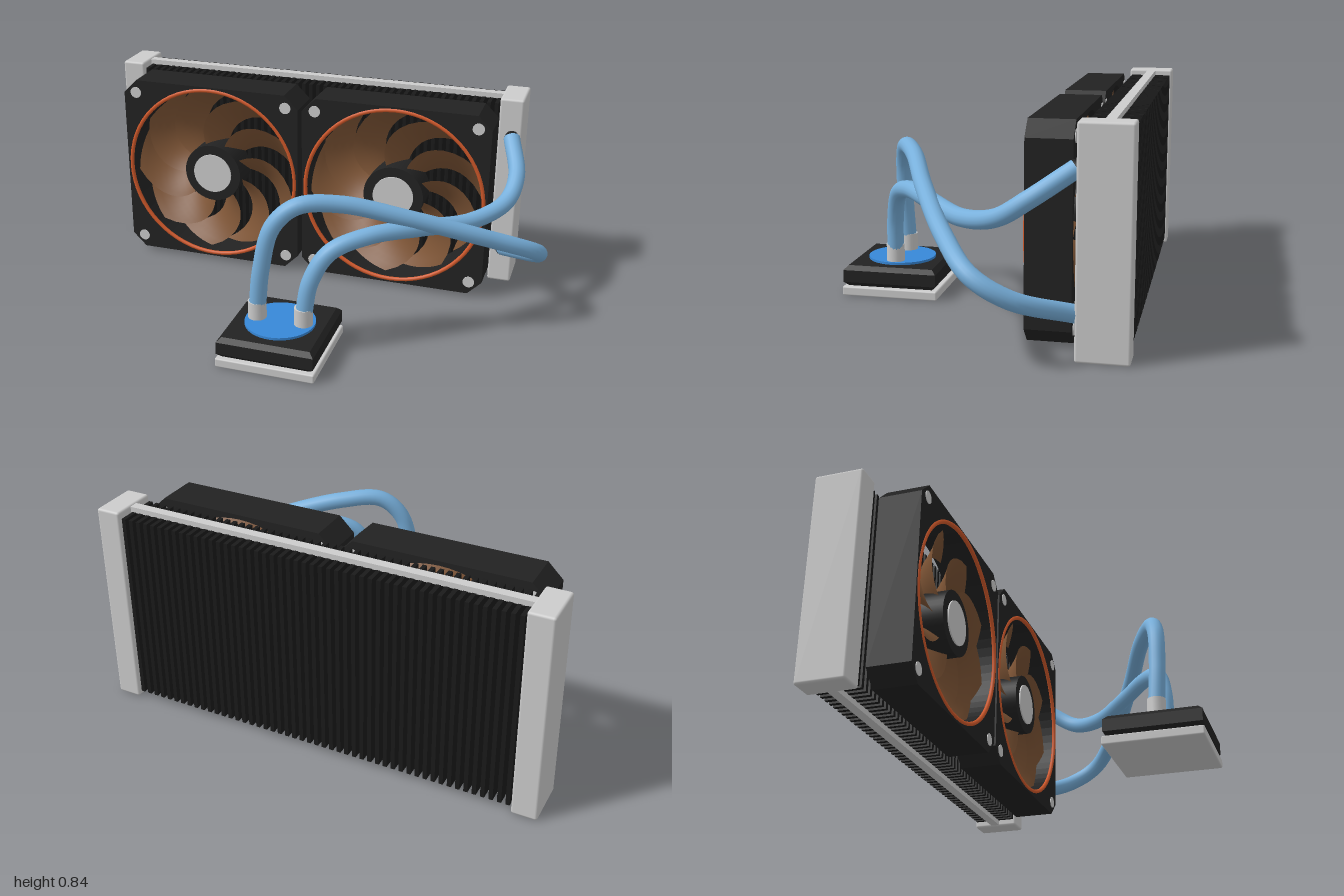
import * as THREE from 'three';
import { RoundedBoxGeometry } from 'three/addons/geometries/RoundedBoxGeometry.js';

const mat = (name, color, extra = {}) => {
  const m = new THREE.MeshStandardMaterial({ color, ...extra });
  m.name = name;
  return m;
};

export function createModel() {
  const black = mat('black plastic', 0x222222);
  const finBlack = mat('fin black', 0x1a1a1a);
  const grey = mat('light grey metal', 0xcccccc);
  const brown = mat('brown blade', 0x7d5435, { side: THREE.DoubleSide });
  const orange = mat('orange ring', 0xd2592a);
  const tubeBlue = mat('tube blue', 0x78b0dc);
  const capBlue = mat('cap blue', 0x3788d8);

  const model = new THREE.Group();
  const add = (parent, name, geo, material, x = 0, y = 0, z = 0) => {
    const m = new THREE.Mesh(geo, material);
    m.name = name;
    m.position.set(x, y, z);
    parent.add(m);
    return m;
  };
  const group = (name, x = 0, y = 0, z = 0) => {
    const g = new THREE.Group();
    g.name = name;
    g.position.set(x, y, z);
    model.add(g);
    return g;
  };
  // Cylinder whose axis runs along z
  const disc = (r, depth, sides = 40) => new THREE.CylinderGeometry(r, r, depth, sides).rotateX(Math.PI / 2);

  // Radiator: end tanks, rails and upright fins
  const radiator = group('radiator');
  for (const x of [-0.95, 0.77]) {
    add(radiator, 'endTank', new RoundedBoxGeometry(0.1, 0.84, 0.196, 2, 0.01), grey, x, 0.42, -0.527);
  }
  for (const y of [0.016, 0.824]) {
    add(radiator, 'rail', new THREE.BoxGeometry(1.63, 0.022, 0.038), grey, -0.09, y, -0.528);
  }
  const finCount = 50;
  const finGeo = new THREE.BoxGeometry(0.016, 0.79, 0.176);
  for (let i = 0; i < finCount; i++) {
    add(radiator, 'fin', finGeo, finBlack, -0.885 + (i * 1.59) / (finCount - 1), 0.42, -0.527);
  }

  // Fan frame: chamfered square with a round opening
  const h = 0.403, c = h - 0.06, depth = 0.17;
  const frameShape = new THREE.Shape([
    [-c, -h], [c, -h], [h, -c], [h, c], [c, h], [-c, h], [-h, c], [-h, -c],
  ].map(([x, y]) => new THREE.Vector2(x, y)));
  frameShape.holes.push(new THREE.Path().absarc(0, 0, 0.385, 0, Math.PI * 2, true));
  const frameGeo = new THREE.ExtrudeGeometry(frameShape, { depth, bevelEnabled: false, curveSegments: 32 });
  frameGeo.translate(0, 0, -depth / 2);

  // Swept and pitched blade: u runs outward, v across the blade
  const bladeGeo = new THREE.PlaneGeometry(1, 1, 10, 8);
  const p = bladeGeo.attributes.position;
  for (let i = 0; i < p.count; i++) {
    const u = p.getX(i) + 0.5, v = p.getY(i);
    const r = 0.12 + 0.255 * u;
    const a = v * 0.6 - 0.75 * u * u;
    const z = -0.01 + v * 0.1 + 0.03 * (0.25 - v * v);
    p.setXYZ(i, r * Math.cos(a), r * Math.sin(a), z);
  }
  bladeGeo.computeVertexNormals();

  for (const x of [-0.503, 0.322]) {
    const fan = group('fan', x, 0.42, -0.32);
    add(fan, 'fanFrame', frameGeo, black);
    add(fan, 'fanRing', new THREE.TorusGeometry(0.388, 0.009, 8, 64), orange, 0, 0, 0.082);
    add(fan, 'fanHub', disc(0.13, 0.13), black, 0, 0, 0.005);
    add(fan, 'hubCap', disc(0.088, 0.008), grey, 0, 0, 0.072);
    for (let i = 0; i < 9; i++) {
      add(fan, 'fanBlade', bladeGeo, brown).rotation.z = (i * Math.PI * 2) / 9 + 0.2;
    }
    for (const sx of [-1, 1]) {
      for (const sy of [-1, 1]) {
        add(fan, 'screw', disc(0.025, 0.176, 20), grey, sx * 0.347, sy * 0.347, 0);
      }
    }
  }

  // Pump block: cold plate, chamfered body, round cap
  const pump = group('pump', 0.045, 0, 0.42);
  add(pump, 'coldPlate', new RoundedBoxGeometry(0.4, 0.037, 0.4, 1, 0.006), grey, 0, 0.0185, 0);
  const b = 0.018, s = 0.195 - b;
  const square = new THREE.Shape([[-s, -s], [s, -s], [s, s], [-s, s]].map(([x, y]) => new THREE.Vector2(x, y)));
  const bodyGeo = new THREE.ExtrudeGeometry(square, {
    depth: 0.086 - 2 * b, bevelThickness: b, bevelSize: b, bevelSegments: 1,
  });
  bodyGeo.rotateX(-Math.PI / 2);
  add(pump, 'pumpBody', bodyGeo, black, 0, 0.038 + b, 0);
  add(pump, 'pumpCap', new THREE.CylinderGeometry(0.14, 0.14, 0.01, 48), capBlue, 0, 0.129, 0);
  for (const x of [-0.095, 0.095]) {
    add(pump, 'pumpConnector', new THREE.CylinderGeometry(0.037, 0.037, 0.08, 24), grey, x, 0.165, 0);
  }

  // Coolant tubes from the pump to the right-hand tank
  const tubes = group('coolantTubes');
  const paths = {
    supplyTube: [
      [-0.05, 0.17, 0.42], [-0.03, 0.35, 0.425], [0.015, 0.53, 0.415], [0.1, 0.61, 0.38], [0.25, 0.605, 0.3],
      [0.5, 0.53, 0.19], [0.78, 0.42, 0.04], [0.95, 0.325, -0.1], [0.94, 0.25, -0.23], [0.78, 0.165, -0.425],
    ],
    returnTube: [
      [0.14, 0.17, 0.42], [0.165, 0.32, 0.41], [0.23, 0.435, 0.375], [0.36, 0.485, 0.29], [0.53, 0.485, 0.16],
      [0.7, 0.465, -0.01], [0.81, 0.5, -0.16], [0.83, 0.57, -0.27], [0.78, 0.675, -0.425],
    ],
  };
  for (const [name, pts] of Object.entries(paths)) {
    const curve = new THREE.CatmullRomCurve3(pts.map((q) => new THREE.Vector3(...q)));
    add(tubes, name, new THREE.TubeGeometry(curve, 90, 0.034, 16), tubeBlue);
    const end = pts[pts.length - 1];
    add(tubes, 'tankPort', disc(0.03, 0.03, 20), black, end[0], end[1], -0.425);
  }

  return model;
}
